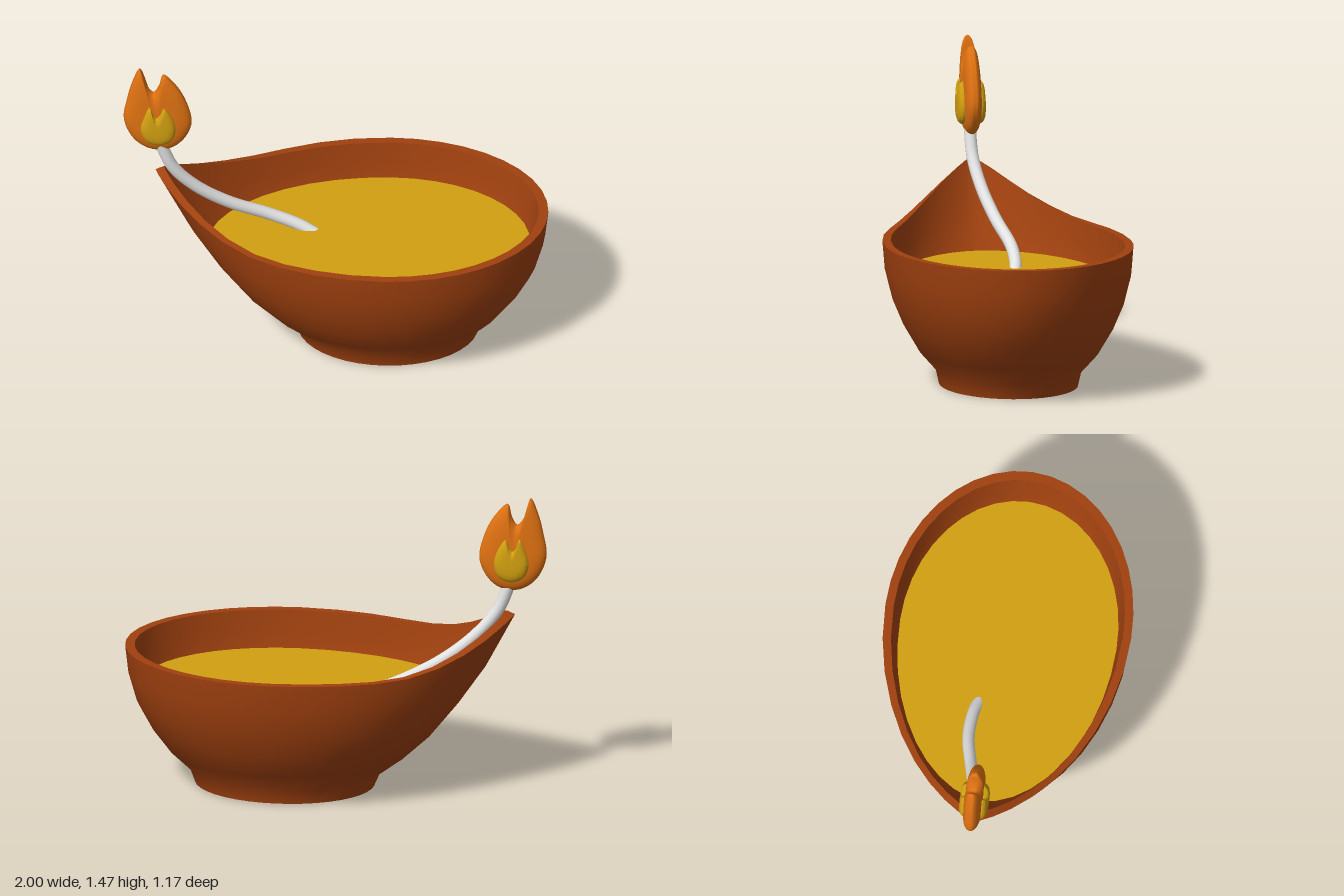
import * as THREE from 'three';
import { toCreasedNormals } from 'three/addons/utils/BufferGeometryUtils.js';

const material = (name, color) => {
  const m = new THREE.MeshStandardMaterial({ color });
  m.name = name;
  return m;
};

// Skin a list of closed rings, each an array of Vector3 of equal length
function loft(rings, crease) {
  const n = rings[0].length, index = [];
  for (let k = 0; k < rings.length - 1; k++) {
    for (let i = 0; i < n; i++) {
      const j = (i + 1) % n;
      const a = k * n + i, b = k * n + j, c = a + n, d = b + n;
      index.push(a, c, b, b, c, d);
    }
  }
  const g = new THREE.BufferGeometry().setFromPoints(rings.flat());
  g.setIndex(index);
  return toCreasedNormals(g, crease);
}

// Teardrop ring: round towards +x, pointed and lifted towards the spout at -x
const CX = 0.245, SEGMENTS = 40;
function bowlRing([y, right, left, halfWidth, point, lift]) {
  return Array.from({ length: SEGMENTS }, (_, i) => {
    const t = (i / SEGMENTS) * Math.PI * 2, c = Math.cos(t), s = Math.sin(t);
    const reach = c > 0 ? right - CX : CX - left;
    const z = Math.sign(s) * Math.pow(Math.abs(s), c > 0 ? 1 : point) * halfWidth;
    const rise = Math.pow(Math.max(0, (-c - 0.45) / 0.55), 2.3) * 0.215 * lift;
    return new THREE.Vector3(CX + c * reach, y + rise, z);
  });
}

// Rounded, cushion-like solid from an outline that runs counterclockwise
function pillow(points, cx, cy, halfDepth) {
  const curve = new THREE.CatmullRomCurve3(
    points.map(([x, y]) => new THREE.Vector3(x, y, 0)), true, 'centripetal');
  const outline = curve.getPoints(78).slice(0, -1);
  const scales = [0, 0.3, 0.55, 0.72, 0.84, 0.92, 0.97, 0.993, 1];
  const ring = (s, side) => outline.map(p => new THREE.Vector3(
    cx + (p.x - cx) * s, cy + (p.y - cy) * s,
    side * halfDepth * Math.sqrt(1 - s ** 4)));
  const front = scales.map(s => ring(s, 1));
  const back = scales.slice(0, -1).reverse().map(s => ring(s, -1));
  return loft([...front, ...back], 1.2);
}

export function createModel() {
  const clay = material('clay', 0xa0410f);
  const gold = material('golden oil', 0xd2a010);
  const orange = material('flame orange', 0xe07212);
  const white = material('wick white', 0xe2e2e2);

  const model = new THREE.Group();
  model.name = 'oilLamp';
  const add = (name, geometry, mat) => {
    const mesh = new THREE.Mesh(geometry, mat);
    mesh.name = name;
    model.add(mesh);
    return mesh;
  };

  // Bowl rows: y, right x, left x, half width, spout sharpness, spout lift
  const rows = [
    [0, CX, CX, 0, 1, 0],
    [0, 0.67, -0.18, 0.325, 1, 0],
    [0.07, 0.695, -0.21, 0.34, 1, 0],
    [0.16, 0.79, -0.33, 0.42, 1, 0],
    [0.28, 0.88, -0.46, 0.49, 1.05, 0],
    [0.40, 0.945, -0.58, 0.54, 1.15, 0.14],
    [0.54, 0.985, -0.71, 0.575, 1.35, 0.37],
    [0.67, 1.0, -0.85, 0.585, 1.65, 1],
    // over the rim and down the inside
    [0.67, 0.955, -0.81, 0.545, 1.6, 1.08],
    [0.57, 0.935, -0.7, 0.53, 1.3, 0.4],
    [0.49, 0.915, -0.6, 0.515, 1.1, 0],
    [0.45, 0.9, -0.57, 0.5, 1.1, 0],
  ];
  add('bowl', loft(rows.map(bowlRing), 0.9), clay);

  // Oil surface
  const oil = [[0.49, 0.915, -0.6, 0.515, 1.1, 0], [0.49, CX, CX, 0, 1, 0]];
  add('oil', loft(oil.map(bowlRing), 0.9), gold);

  // Wick rising out of the oil over the spout
  const wickPath = new THREE.CatmullRomCurve3([
    [-0.1, 0.465, -0.09], [-0.18, 0.505, -0.105], [-0.32, 0.565, -0.105],
    [-0.5, 0.655, -0.065], [-0.66, 0.775, -0.025], [-0.77, 0.905, 0], [-0.83, 1.05, 0.005],
  ].map(p => new THREE.Vector3(...p)));
  add('wick', new THREE.TubeGeometry(wickPath, 36, 0.029, 14), white);

  // Outer flame with two tongues
  const outer = [
    [-0.925, 1.465], [-0.96, 1.39], [-0.985, 1.29], [-1.0, 1.18], [-0.96, 1.075], [-0.9, 1.022],
    [-0.835, 1.005], [-0.77, 1.02], [-0.715, 1.07], [-0.68, 1.16], [-0.71, 1.29],
    [-0.76, 1.38], [-0.815, 1.432], [-0.832, 1.375], [-0.86, 1.33], [-0.895, 1.37],
  ];
  add('outerFlame', pillow(outer, -0.84, 1.16, 0.042), orange);

  // Raised inner flame on both faces
  const inner = [
    [-0.877, 1.272], [-0.905, 1.21], [-0.92, 1.14], [-0.895, 1.08], [-0.835, 1.055],
    [-0.775, 1.08], [-0.755, 1.135], [-0.767, 1.2], [-0.81, 1.265],
    [-0.825, 1.235], [-0.845, 1.21], [-0.862, 1.23],
  ];
  const innerGeometry = pillow(inner, -0.838, 1.14, 0.03);
  for (const side of [1, -1]) {
    add(side > 0 ? 'frontInnerFlame' : 'backInnerFlame', innerGeometry, gold).position.z = side * 0.038;
  }

  return model;
}
